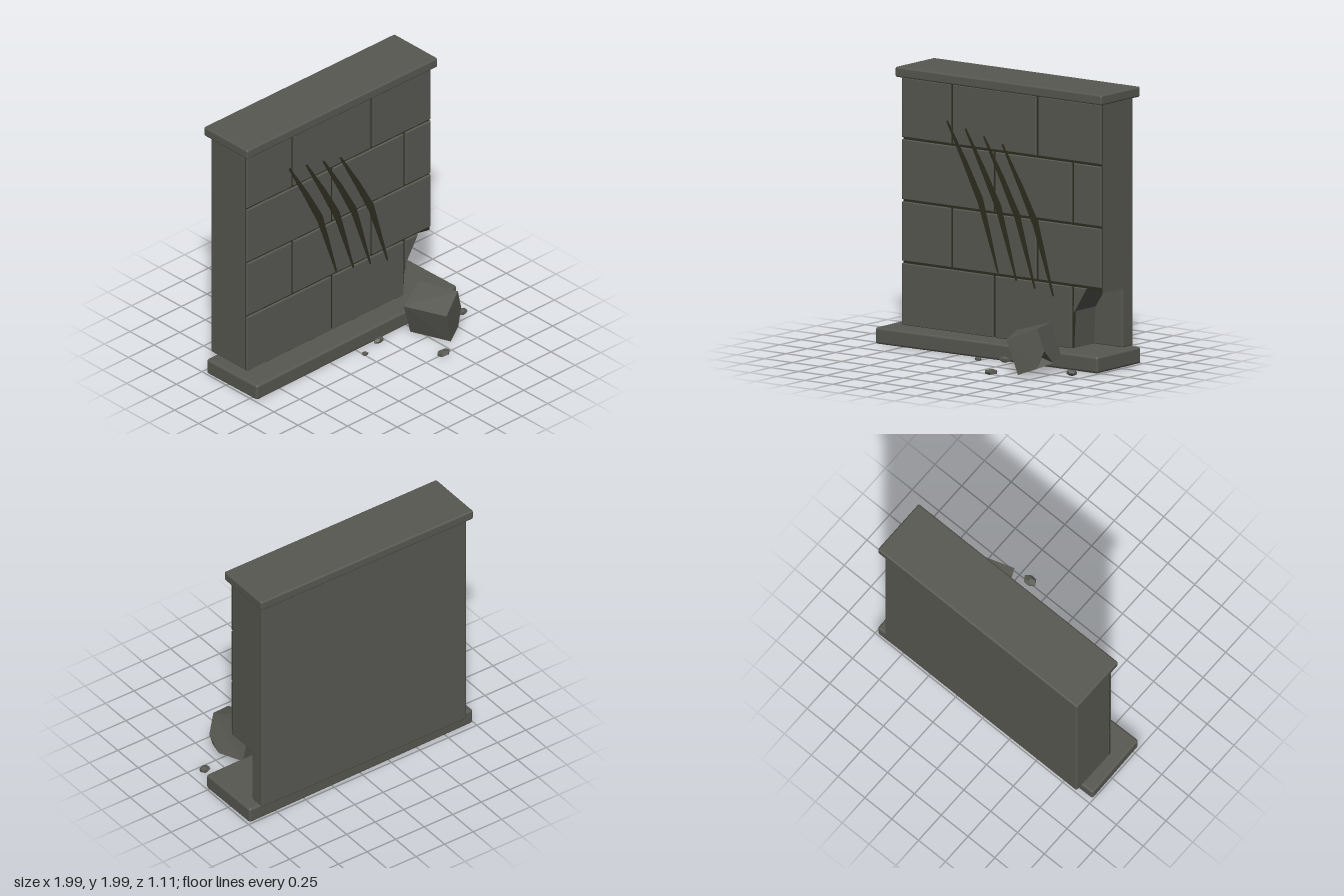
import * as THREE from 'three';
import { RoundedBoxGeometry } from 'three/addons/geometries/RoundedBoxGeometry.js';

export function createModel() {
  const group = new THREE.Group();
  const stone = new THREE.MeshStandardMaterial({ color: 0x585852 });
  stone.name = 'stone';
  const groove = new THREE.MeshStandardMaterial({ color: 0x2e2d20 });
  groove.name = 'dark groove';

  const add = (name, geometry, material, x = 0, y = 0, z = 0) => {
    const mesh = new THREE.Mesh(geometry, material);
    mesh.name = name;
    mesh.position.set(x, y, z);
    group.add(mesh);
    return mesh;
  };
  // Flat outline in x and y, extruded between two depths
  const slab = (name, points, z0, z1, material, bevel = 0) => {
    const shape = new THREE.Shape(points.map(([x, y]) => new THREE.Vector2(x, y)));
    const geometry = new THREE.ExtrudeGeometry(shape, {
      depth: z1 - z0 - bevel, bevelEnabled: bevel > 0, bevelSize: bevel,
      bevelThickness: bevel, bevelOffset: -bevel, bevelSegments: 1,
    });
    return add(name, geometry, material, 0, 0, z0);
  };

  // Plinth, slightly twisted, and cap
  add('plinth', new RoundedBoxGeometry(1.98, 0.12, 0.52, 2, 0.018), stone, 0, 0.07, -0.217).rotation.y = 0.016;
  add('cap', new RoundedBoxGeometry(1.86, 0.075, 0.455, 2, 0.014), stone, 0, 1.962, -0.33);

  // Wall: whole rear slab, and a front part with its lower corner broken out
  add('wallBack', new RoundedBoxGeometry(1.79, 1.8, 0.13, 2, 0.013), stone, 0, 1.025, -0.455);
  const outline = [
    [-0.895, 0.125], [0.64, 0.125], [0.655, 0.4], [0.77, 0.577],
    [0.895, 0.555], [0.895, 1.925], [-0.895, 1.925],
  ];
  slab('wallCore', outline, -0.41, -0.16, stone);
  slab('mortar', outline, -0.16, -0.155, groove);

  // Bricks, row by row, with gaps for the grooves
  const rows = [
    [1.49, 1.92, [-0.45, 0.32]],
    [1.04, 1.472, [-0.065, 0.64]],
    [0.594, 1.022, [-0.45, 0.32]],
    [0.13, 0.576, [-0.065, 0.64]],
  ];
  rows.forEach(([y0, y1, joints], row) => {
    const edges = [-0.906, ...joints, 0.906];
    for (let i = 0; i < edges.length - 1; i++) {
      const a = edges[i] + 0.011, b = edges[i + 1] - 0.011;
      const broken = row === 3 && i === 2;
      const points = broken
        ? [[a, 0.385], [0.77, y1], [a, y1]]
        : [[a, y0], [b, y0], [b, y1], [a, y1]];
      slab('brick', points, -0.156, -0.138, stone, 0.004);
    }
  });

  // Four claw scratches, thin in front of the bricks
  for (let i = 0; i < 4; i++) {
    const dx = i * 0.166, dy = i * -0.038;
    const stroke = [
      [-0.495, 1.65], [-0.34, 1.35], [-0.21, 1.09], [-0.035, 0.6],
      [-0.022, 0.605], [-0.1, 0.9], [-0.165, 1.13], [-0.3, 1.37], [-0.48, 1.655],
    ].map(([x, y]) => [x + dx, y + dy]);
    slab('scratch', stroke, -0.139, -0.136, groove);
  }

  // Fallen block: a tilted box with one chipped lower corner
  const corners = [
    [0.36, 0.275, 0.15], [0.6, 0.345, 0.05], [0.7, 0.35, 0.35], [0.5, 0.265, 0.445],
    [0.45, 0.015, 0.12], [0.67, 0.1, 0.03], [0.575, 0.01, 0.41],
    [0.75, 0.19, 0.33], [0.745, 0.09, 0.22], [0.7, 0.06, 0.355], [0.69, 0.13, 0.28],
  ];
  const faces = [
    [0, 3, 2, 1], [0, 4, 6, 3], [3, 6, 9, 7, 2], [2, 7, 8, 5, 1],
    [1, 5, 4, 0], [4, 5, 8, 9, 6], [7, 9, 10], [8, 7, 10], [9, 8, 10],
  ];
  const positions = [];
  for (const face of faces) {
    for (let i = 1; i < face.length - 1; i++) {
      for (const k of [face[0], face[i], face[i + 1]]) positions.push(...corners[k]);
    }
  }
  const block = new THREE.BufferGeometry();
  block.setAttribute('position', new THREE.Float32BufferAttribute(positions, 3));
  block.computeVertexNormals();
  add('fallenBlock', block, stone);

  // Pebbles: x, z, half width, half height, half depth
  const pebbles = [
    [0, 0.13, 0.028, 0.015, 0.022], [0.19, 0.07, 0.048, 0.022, 0.025],
    [0.41, 0.51, 0.058, 0.022, 0.04], [0.89, 0.19, 0.042, 0.022, 0.036],
  ];
  pebbles.forEach(([x, z, w, h, d], i) => {
    const geometry = new THREE.DodecahedronGeometry(1, 0);
    geometry.rotateY(i * 0.7).scale(w, h, d);
    geometry.computeVertexNormals();
    add('pebble', geometry, stone, x, h + 0.008, z);
  });

  return group;
}
